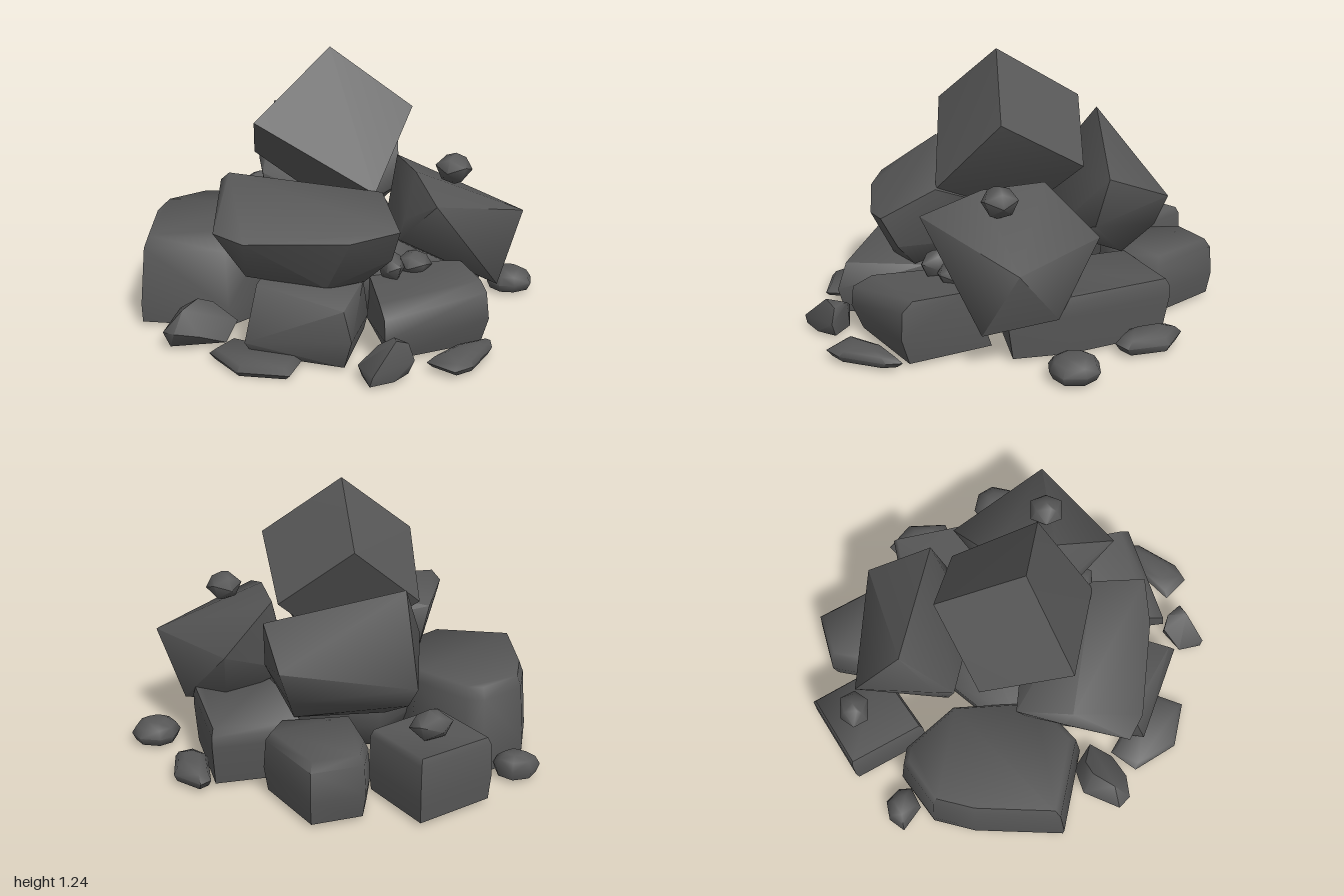
import * as THREE from 'three';
import { ConvexGeometry } from 'three/addons/geometries/ConvexGeometry.js';
import { toCreasedNormals } from 'three/addons/utils/BufferGeometryUtils.js';

export function createModel() {
  const group = new THREE.Group();
  group.name = 'rockPile';
  const stone = new THREE.MeshStandardMaterial({ color: 0x575757 });
  stone.name = 'dark grey stone';

  // Convex rock from a few corner points, smooth across all but the sharp edges
  function rock(name, corners) {
    const geo = new ConvexGeometry(corners.map((c) => new THREE.Vector3(...c)));
    const mesh = new THREE.Mesh(toCreasedNormals(geo, 1.2), stone);
    mesh.name = name;
    group.add(mesh);
  }

  // Ground rock from an [x, z] outline: rings of [height, scale] about its centre
  function slab(name, outline, rings) {
    const cx = outline.reduce((s, p) => s + p[0], 0) / outline.length;
    const cz = outline.reduce((s, p) => s + p[1], 0) / outline.length;
    const corners = [];
    for (const [y, k] of rings) {
      for (const [x, z] of outline) corners.push([cx + (x - cx) * k, y, cz + (z - cz) * k]);
    }
    rock(name, corners);
  }

  // Large rocks resting on the ground
  slab('leftBoulder', [[-0.95, 0.08], [-0.85, -0.34], [-0.76, -0.53], [-0.53, -0.64], [-0.45, -0.61],
    [-0.29, -0.34], [-0.35, 0.1], [-0.58, 0.24]], [[0.015, 0.99], [0.1, 1], [0.36, 0.93], [0.41, 0.86]]);
  slab('backLeftBlock', [[-0.48, -0.86], [-0.12, -1], [0, -0.65], [-0.36, -0.49]],
    [[0.015, 0.96], [0.12, 1], [0.27, 0.98], [0.3, 0.92]]);
  slab('backRightBlock', [[0.08, -0.89], [0.32, -0.91], [0.44, -0.54], [0.36, -0.42], [0.02, -0.45], [0.02, -0.74]],
    [[0.015, 0.93], [0.12, 1], [0.25, 0.96], [0.29, 0.86]]);
  slab('rightBlock', [[0.25, -0.47], [0.65, -0.47], [0.66, 0.03], [0.6, 0.3], [0.2, 0.2]],
    [[0.015, 0.92], [0.2, 1], [0.25, 1], [0.285, 0.95]]);
  rock('frontBlock', [
    [0.02, 0.015, 0.76], [0.45, 0.015, 0.69], [0.43, 0.015, 0.3], [0.05, 0.015, 0.3],
    [-0.02, 0.12, 0.8], [0.47, 0.14, 0.73], [-0.02, 0.21, 0.79], [0.46, 0.26, 0.72],
    [-0.015, 0.25, 0.7], [0.45, 0.3, 0.67], [0.45, 0.3, 0.4], [0.05, 0.25, 0.3]]);
  rock('frontLeftBlock', [
    [-0.53, 0.015, 0.55], [-0.19, 0.015, 0.78], [0, 0.015, 0.42], [-0.4, 0.015, 0.15],
    [-0.57, 0.08, 0.57], [-0.17, 0.14, 0.82], [-0.5, 0.31, 0.5], [-0.19, 0.26, 0.77],
    [-0.01, 0.26, 0.44], [-0.35, 0.31, 0.18], [0.01, 0.1, 0.45]]);
  slab('frontLeftFlatStone', [[-0.71, 0.5], [-0.63, 0.72], [-0.43, 0.81], [-0.33, 0.65], [-0.6, 0.4]],
    [[0, 0.9], [0.02, 1], [0.045, 0.85]]);
  slab('coreRock', [[-0.48, -0.08], [-0.15, -0.35], [0.25, -0.25], [0.32, 0.2], [0.1, 0.4], [-0.35, 0.3]],
    [[0.03, 0.75], [0.15, 0.95], [0.3, 1], [0.37, 0.8]]);

  // Leaning rocks of the second tier
  rock('upperLeftSlab', [
    [-0.67, 0.53, 0.43], [-0.58, 0.68, 0.14], [-0.55, 0.72, 0.18], [-0.46, 0.62, -0.06],
    [0.08, 0.65, 0.42], [0.08, 0.55, 0.68], [-0.13, 0.51, 0.66], [-0.56, 0.5, 0.52],
    [0.07, 0.4, 0.6], [-0.02, 0.27, 0.49], [-0.2, 0.27, 0.53], [-0.53, 0.32, 0.42],
    [-0.42, 0.35, 0], [0, 0.35, 0.15], [0, 0.5, 0.08]]);
  rock('upperRightBlock', [
    [0.28, 0.69, 0.28], [0.29, 0.69, -0.02], [0.54, 0.49, -0.17], [0.79, 0.48, 0.33],
    [0.28, 0.61, 0.57], [0.63, 0.17, 0.43], [0.18, 0.4, 0.36], [0.52, 0.24, -0.05],
    [0.2, 0.32, 0.05], [0.69, 0.21, 0.1], [0.2, 0.5, 0.38]]);
  rock('upperBackBlock', [
    [-0.19, 0.87, -0.535], [0.385, 0.69, -0.3], [0.38, 0.57, -0.61], [-0.175, 0.51, -0.77],
    [-0.3, 0.62, -0.4], [-0.3, 0.56, -0.32], [0.37, 0.47, -0.24], [-0.27, 0.4, -0.35],
    [-0.15, 0.42, -0.72], [0.33, 0.42, -0.57], [-0.12, 0.29, -0.48], [0.28, 0.29, -0.43], [0.1, 0.37, -0.16]]);

  // Tilted block at the summit
  rock('summitBlock', [
    [-0.06, 1.235, 0.06], [-0.015, 0.99, -0.34], [0.3, 0.74, -0.21], [0.29, 0.97, 0.19],
    [-0.44, 0.94, 0.2], [-0.36, 0.7, -0.21], [-0.02, 0.45, -0.07], [0.05, 0.64, 0.41]]);

  // Small stones around the foot
  const low = (h) => [[0.015, 0.85], [0.02 + h * 0.35, 1], [0.02 + h * 0.75, 0.8], [0.02 + h, 0.45]];
  slab('rightStone', [[0.72, 0.1], [0.76, 0.01], [0.83, -0.02], [0.92, 0.02], [0.95, 0.1], [0.91, 0.19],
    [0.82, 0.21], [0.75, 0.18]], low(0.09));
  slab('rightBackStone', [[0.66, -0.47], [0.71, -0.5], [0.81, -0.38], [0.78, -0.19], [0.7, -0.17], [0.64, -0.25]], low(0.08));
  slab('backLeftStone', [[-0.785, -0.68], [-0.72, -0.74], [-0.63, -0.74], [-0.58, -0.67], [-0.59, -0.61], [-0.69, -0.58]], low(0.1));
  rock('leftStone', [
    [-0.86, 0.015, 0.38], [-0.62, 0.015, 0.4], [-0.6, 0.015, 0.25], [-0.78, 0.015, 0.25],
    [-0.89, 0.08, 0.37], [-0.85, 0.09, 0.43], [-0.74, 0.07, 0.44], [-0.55, 0.07, 0.3],
    [-0.8, 0.17, 0.36], [-0.72, 0.18, 0.27], [-0.65, 0.15, 0.25], [-0.79, 0.12, 0.21], [-0.65, 0.06, 0.2]]);
  rock('frontStone', [
    [-0.14, 0.015, 0.98], [-0.03, 0.015, 0.96], [0.05, 0.015, 0.9], [-0.03, 0.015, 0.81], [-0.14, 0.015, 0.87],
    [-0.155, 0.06, 0.86], [-0.13, 0.06, 0.99], [0.07, 0.08, 0.92], [-0.05, 0.11, 0.8],
    [0.01, 0.15, 0.83], [0.05, 0.15, 0.9], [-0.01, 0.175, 0.92]]);
  slab('frontRightStone', [[0.14, 0.87], [0.31, 0.76], [0.48, 0.73], [0.46, 0.8], [0.31, 0.96], [0.22, 0.99]], low(0.055));

  // Pebbles lodged on the larger rocks
  function pebble(name, x, y, z, rx, ry, rz) {
    const corners = [[0.1, 1, 0], [-0.3, 0.9, 0.2], [0, -1, 0.1]];
    for (let i = 0; i < 6; i++) {
      const a = i * Math.PI / 3 + 0.2;
      corners.push([Math.cos(a), i % 2 ? 0.25 : -0.1, Math.sin(a)]);
      corners.push([Math.cos(a) * 0.65, i % 2 ? -0.7 : 0.7, Math.sin(a) * 0.65]);
    }
    rock(name, corners.map((c) => [x + c[0] * rx, y + c[1] * ry, z + c[2] * rz]));
  }
  pebble('upperRightPebble', 0.465, 0.69, 0.275, 0.085, 0.072, 0.085);
  pebble('backPebble', -0.225, 0.36, -0.8, 0.095, 0.072, 0.075);
  pebble('gapPebble', 0.12, 0.31, 0.43, 0.06, 0.07, 0.09);
  pebble('gapPebble', 0.24, 0.3, 0.4, 0.08, 0.06, 0.08);
  return group;
}
